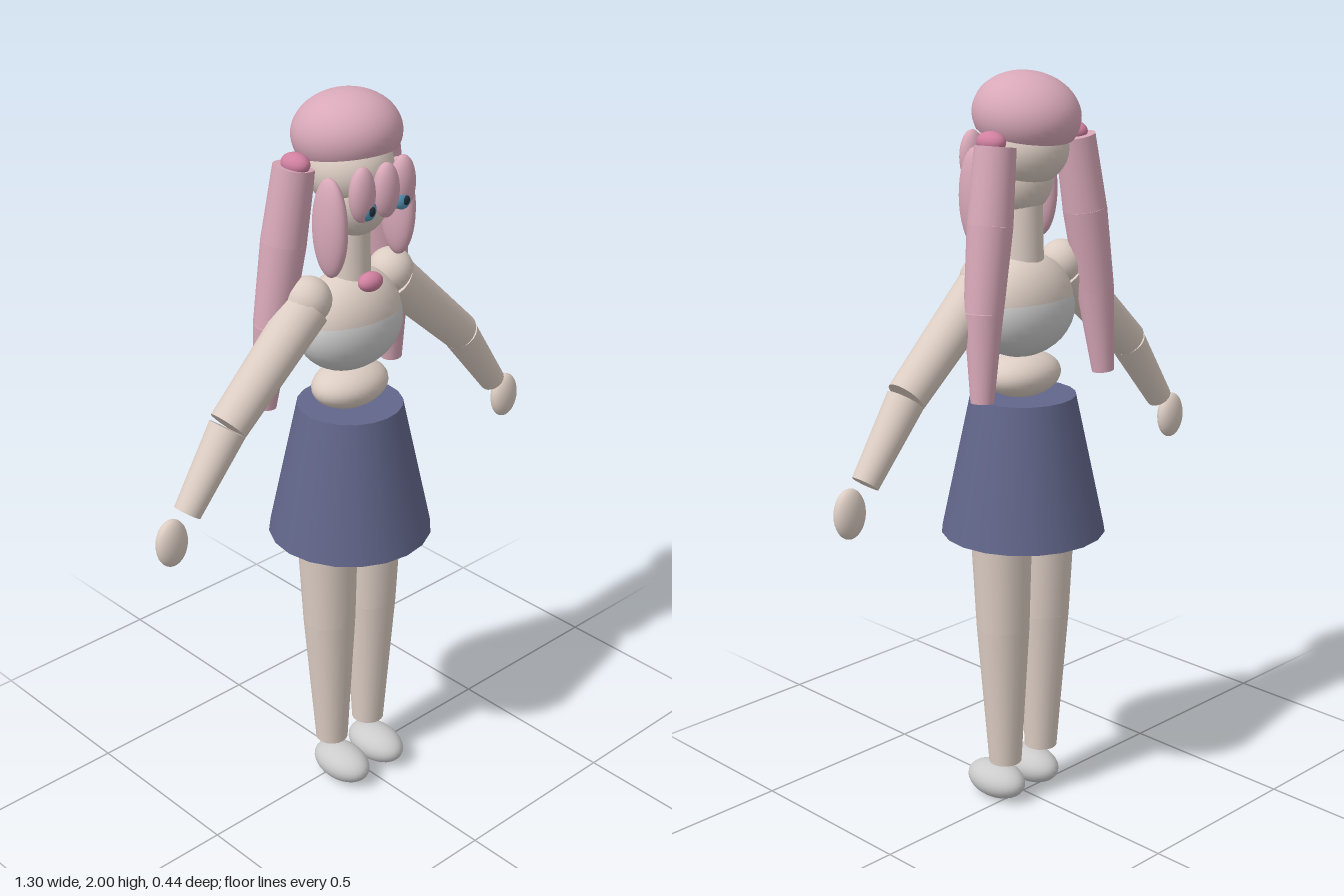
import * as THREE from 'three';

const paint = (color) => new THREE.MeshStandardMaterial({ color });

export function createModel() {
  const root = new THREE.Group();
  const skin = paint(0xdccdc3), hair = paint(0xd8a8b8), ribbon = paint(0xd0809f);
  const cloth = paint(0xcccccc), navy = paint(0x62668a), blue = paint(0x5596b8), dark = paint(0x22303c);

  const add = (name, geometry, material) => {
    const mesh = new THREE.Mesh(geometry, material);
    mesh.name = name;
    root.add(mesh);
    return mesh;
  };

  // Ellipsoid at a centre with three radii
  const blob = (name, material, centre, radii) => {
    const mesh = add(name, new THREE.SphereGeometry(1, 28, 18), material);
    mesh.position.set(...centre);
    mesh.scale.set(...radii);
    return mesh;
  };

  // Tapered cylinder from point a (radius ra) to point b (radius rb)
  const limb = (name, material, a, ra, b, rb, sides = 20) => {
    const from = new THREE.Vector3(...a), to = new THREE.Vector3(...b);
    const mesh = add(name, new THREE.CylinderGeometry(rb, ra, from.distanceTo(to), sides), material);
    mesh.position.copy(from).add(to).multiplyScalar(0.5);
    mesh.quaternion.setFromUnitVectors(new THREE.Vector3(0, 1, 0), to.sub(from).normalize());
    return mesh;
  };

  // Head, jaw and neck
  blob('head', skin, [0, 1.81, -0.005], [0.112, 0.1, 0.115]);
  blob('jaw', skin, [0, 1.735, 0.015], [0.088, 0.1, 0.09]);
  limb('neck', skin, [0, 1.52, 0], 0.054, [0, 1.68, 0], 0.05);

  // Hair cap: open-bottomed dome tilted slightly back
  const cap = add('hairCap',
    new THREE.SphereGeometry(1, 32, 18, 0, Math.PI * 2, 0, Math.PI * 0.64), hair.clone());
  cap.material.side = THREE.DoubleSide;
  cap.position.set(0, 1.893, -0.012);
  cap.scale.set(0.135, 0.107, 0.142);
  cap.rotation.x = -0.16;

  // Fringe
  for (const x of [-0.068, 0, 0.068]) {
    blob('fringe', hair, [x, 1.78, x ? 0.115 : 0.128], [0.037, 0.07, 0.028]);
  }

  // Torso, top and waist
  blob('chest', skin, [0, 1.41, 0], [0.153, 0.13, 0.106]);
  blob('top', cloth, [0, 1.39, 0], [0.158, 0.122, 0.11]);
  blob('waist', skin, [0, 1.22, 0], [0.113, 0.06, 0.085]);
  blob('neckBow', ribbon, [0, 1.525, 0.075], [0.036, 0.025, 0.026]);

  // Skirt
  limb('skirt', navy, [0, 0.79, 0], 0.22, [0, 1.165, 0], 0.14, 20);

  for (const s of [1, -1]) {
    const side = s > 0 ? 'left' : 'right';

    // Eye
    blob(side + 'EyeWhite', cloth, [s * 0.058, 1.745, 0.108], [0.033, 0.033, 0.026]);
    blob(side + 'Iris', blue, [s * 0.058, 1.742, 0.125], [0.024, 0.027, 0.017]);
    blob(side + 'Pupil', dark, [s * 0.058, 1.742, 0.138], [0.011, 0.013, 0.007]);

    // Side lock, hair tie and pigtail
    blob(side + 'SideLock', hair, [s * 0.115, 1.69, 0.052], [0.031, 0.128, 0.056]);
    blob(side + 'HairTie', ribbon, [s * 0.147, 1.84, -0.035], [0.031, 0.027, 0.042]);
    const path = [[0.143, 1.83, -0.045, 0.053], [0.172, 1.64, -0.055, 0.058],
      [0.205, 1.425, -0.064, 0.05], [0.225, 1.2, -0.078, 0.03]];
    for (let i = 0; i < 3; i++) {
      const [ax, ay, az, ar] = path[i], [bx, by, bz, br] = path[i + 1];
      limb(side + 'Pigtail' + (i + 1), hair, [s * ax, ay, az], ar, [s * bx, by, bz], br);
    }

    // Arm
    blob(side + 'Shoulder', skin, [s * 0.143, 1.493, 0], [0.062, 0.062, 0.06]);
    limb(side + 'UpperArm', skin, [s * 0.15, 1.475, 0], 0.062, [s * 0.41, 1.237, 0], 0.052);
    limb(side + 'Forearm', skin, [s * 0.413, 1.23, 0], 0.05, [s * 0.55, 1.045, 0], 0.036);
    blob(side + 'Hand', skin, [s * 0.602, 0.98, 0], [0.046, 0.065, 0.028]);

    // Leg and shoe
    limb(side + 'Thigh', skin, [s * 0.083, 0.84, 0], 0.084, [s * 0.077, 0.53, 0], 0.072);
    limb(side + 'Shin', skin, [s * 0.077, 0.53, 0], 0.072, [s * 0.07, 0.125, 0], 0.045);
    blob(side + 'Shoe', cloth, [s * 0.067, 0.053, 0.038], [0.061, 0.05, 0.095]);
  }
  return root;
}
